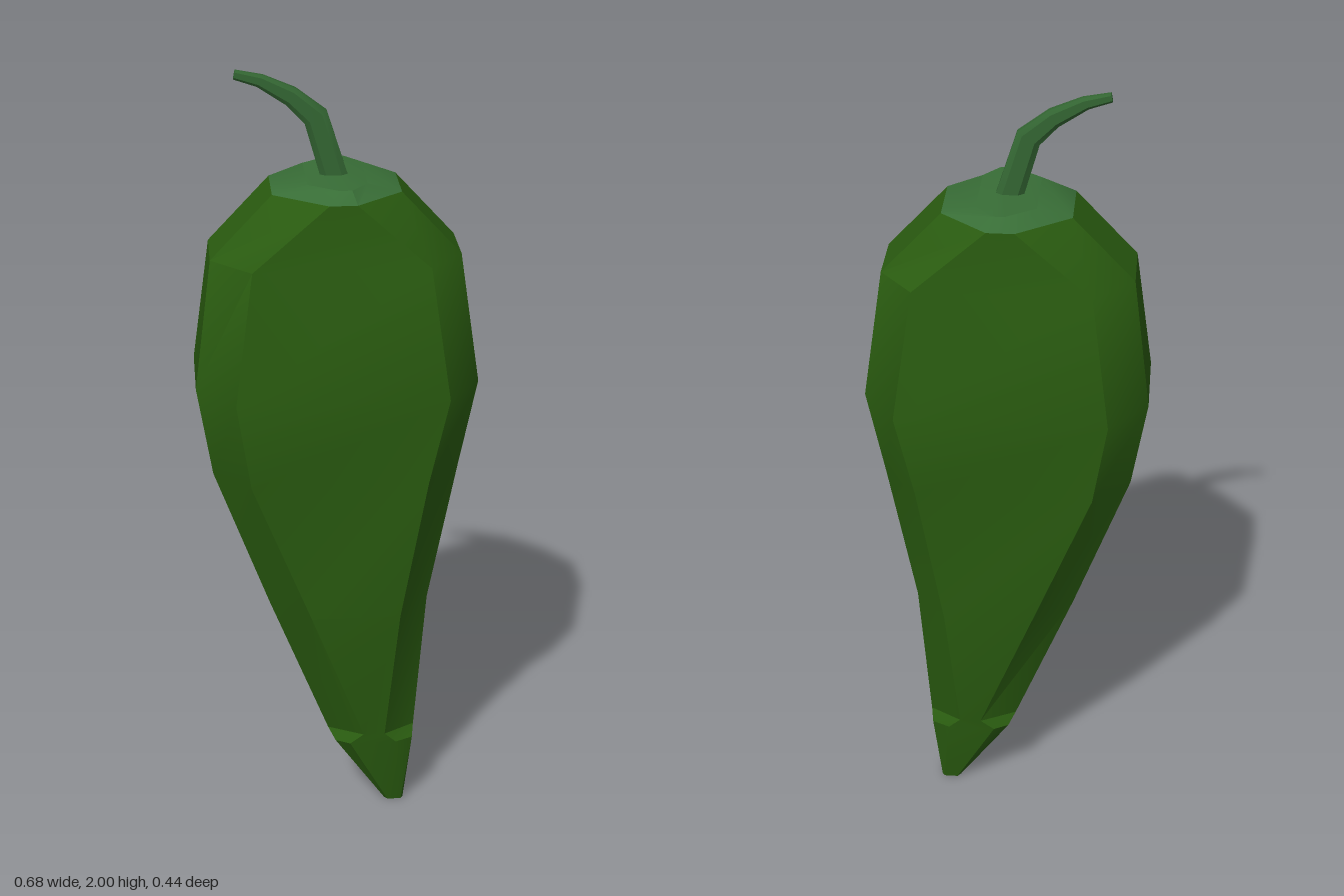
import * as THREE from 'three';
import { toCreasedNormals } from 'three/addons/utils/BufferGeometryUtils.js';

// Eight-sided section between points a and b (in the xy plane);
// t0..t1 is the extent of the front flat along a-b, z its depth, iz the half width of the side flats
function ring([ax, ay], [bx, by], t0, t1, z, iz) {
  const at = (t, d) => new THREE.Vector3(ax + (bx - ax) * t, ay + (by - ay) * t, d);
  return [at(t1, z), at(1, iz), at(1, -iz), at(t1, -z), at(t0, -z), at(0, -iz), at(0, iz), at(t0, z)];
}

// Level section given by actual x positions
const level = (y, x0, x1, i0, i1, z, iz) =>
  ring([x0, y], [x1, y], (i0 - x0) / (x1 - x0), (i1 - x0) / (x1 - x0), z, iz);

// Skin over a stack of sections, closed at both ends
function loft(name, rings, color) {
  const pos = [];
  const tri = (...pts) => pts.forEach((p) => pos.push(p.x, p.y, p.z));
  for (let i = 0; i < rings.length - 1; i++) {
    const lo = rings[i], hi = rings[i + 1];
    for (let j = 0; j < 8; j++) {
      const k = (j + 1) % 8;
      tri(lo[j], lo[k], hi[k]);
      tri(lo[j], hi[k], hi[j]);
    }
  }
  const first = rings[0], last = rings[rings.length - 1];
  for (let j = 1; j < 7; j++) {
    tri(first[0], first[j + 1], first[j]);
    tri(last[0], last[j], last[j + 1]);
  }
  const geo = new THREE.BufferGeometry();
  geo.setAttribute('position', new THREE.Float32BufferAttribute(pos, 3));
  const mesh = new THREE.Mesh(toCreasedNormals(geo, 0.5), new THREE.MeshStandardMaterial({ color }));
  mesh.name = name;
  return mesh;
}

export function createModel() {
  const group = new THREE.Group();
  group.name = 'chiliPepper';

  // Body: y, outer x range, front flat x range, depth, side flat half width
  const shoulder = level(1.722, -0.152, 0.152, -0.025, 0.04, 0.167, 0.073);
  group.add(loft('body', [
    level(0, 0.132, 0.182, 0.14, 0.176, 0.032, 0.022),
    level(0.212, -0.002, 0.2, 0.035, 0.155, 0.08, 0.06),
    level(0.24, -0.02, 0.205, 0.07, 0.125, 0.083, 0.037),
    level(0.64, -0.17, 0.23, -0.07, 0.152, 0.168, 0.07),
    level(1.01, -0.305, 0.3, -0.215, 0.217, 0.17, 0.072),
    level(1.25, -0.342, 0.34, -0.25, 0.258, 0.221, 0.105),
    level(1.565, -0.3, 0.296, -0.205, 0.214, 0.17, 0.073),
    shoulder,
  ], 0x2a5c10));

  // Cap
  group.add(loft('cap', [
    shoulder,
    level(1.748, -0.07, 0.07, 0, 0.03, 0.135, 0.085),
  ], 0x386d36));

  // Curved stem: lower edge point, upper edge point, depth
  const stem = [
    [[-0.032, 1.735], [0.034, 1.735], 0.02],
    [[-0.07, 1.87], [-0.018, 1.9], 0.017],
    [[-0.15, 1.945], [-0.09, 1.955], 0.014],
    [[-0.18, 1.96], [-0.165, 1.987], 0.011],
    [[-0.234, 1.978], [-0.23, 2], 0.007],
  ];
  // Keep the third section square to the curve
  stem[2][0] = [-0.112, 1.915];
  group.add(loft('stem', stem.map(([a, b, z]) => ring(a, b, 0.22, 0.78, z, z * 0.45)), 0x336532));

  return group;
}
